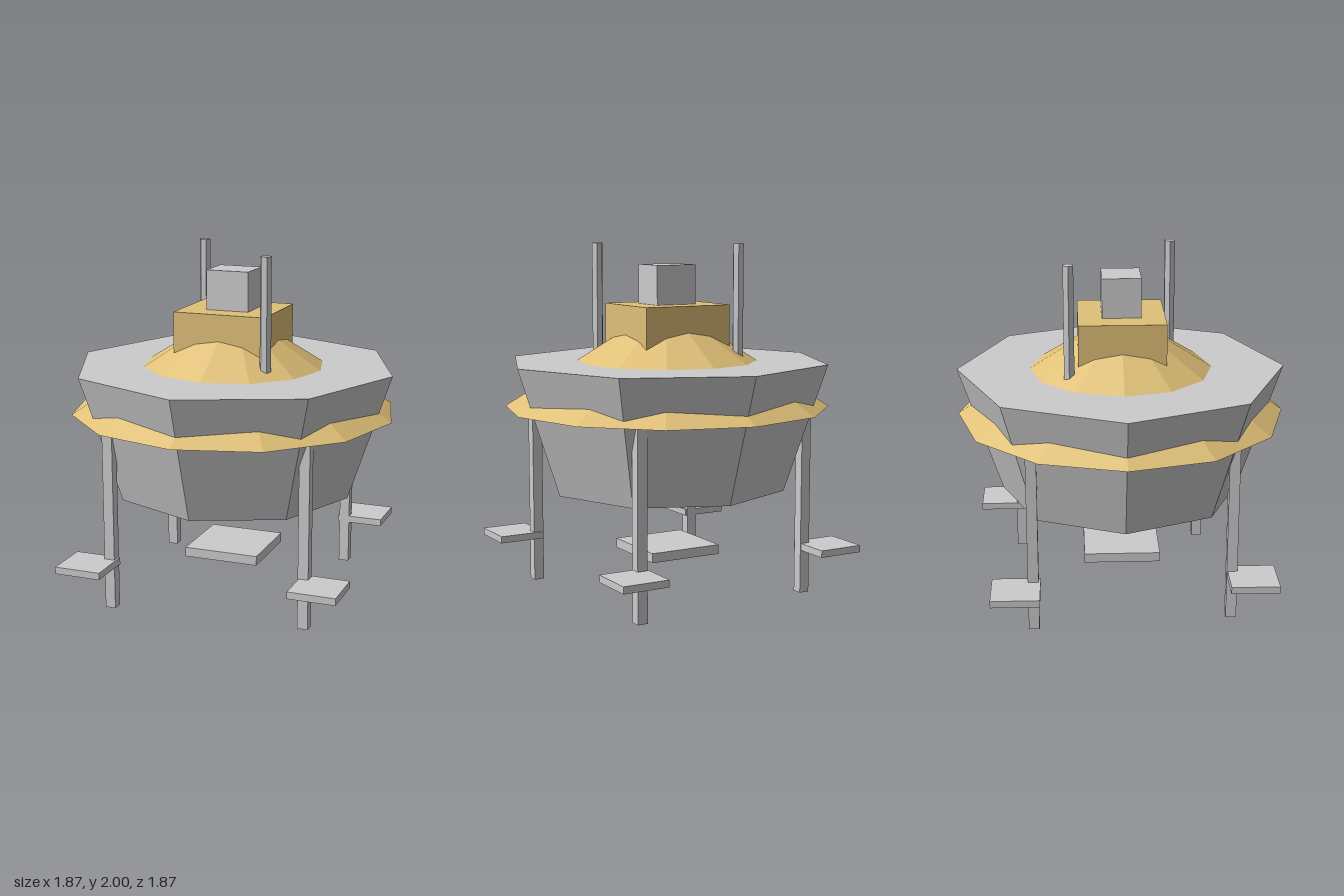
import * as THREE from 'three';

const grey = new THREE.MeshStandardMaterial({ color: 0xcccccc, flatShading: true });
const gold = new THREE.MeshStandardMaterial({ color: 0xe0c078, flatShading: true });

export function createModel() {
  const model = new THREE.Group();

  const add = (name, geometry, material, x, y, z, parent = model) => {
    const mesh = new THREE.Mesh(geometry, material);
    mesh.name = name;
    mesh.position.set(x, y, z);
    parent.add(mesh);
    return mesh;
  };
  // Box and prism placed by their lower and upper heights
  const box = (name, w, d, y0, y1, material, x = 0, z = 0, parent = model) =>
    add(name, new THREE.BoxGeometry(w, y1 - y0, d), material, x, (y0 + y1) / 2, z, parent);
  const prism = (name, rTop, rBottom, sides, y0, y1, material, x = 0, z = 0) =>
    add(name, new THREE.CylinderGeometry(rTop, rBottom, y1 - y0, sides), material, x, (y0 + y1) / 2, z);

  // Eight-sided hull, pierced by a twelve-sided cone that shows as skirt and roof
  prism('hull', 0.935, 0.69, 8, 0.6, 1.33, grey);
  add('skirtCone', new THREE.ConeGeometry(0.935, 0.595, 12), gold, 0, 1.065 + 0.595 / 2, 0);

  // Cabin blocks on top
  box('cabin', 0.54, 0.49, 1.36, 1.655, gold);
  box('hatch', 0.25, 0.22, 1.655, 1.88, grey);

  // Two hexagonal masts on opposite corners
  for (const s of [-1, 1]) {
    prism('mast', 0.033, 0.033, 6, 1.33, 2, grey, s * 0.295, s * 0.295).rotation.y = Math.PI / 6;
  }

  // Four legs with offset foot pads, each a quarter turn from the last
  for (let i = 0; i < 4; i++) {
    const leg = new THREE.Group();
    leg.name = 'leg' + (i + 1);
    box('strut', 0.06, 0.06, 0, 1.15, grey, 0.605, 0.51, leg);
    box('footPad', 0.27, 0.27, 0.25, 0.29, grey, 0.715, 0.605, leg);
    leg.rotation.y = (i * Math.PI) / 2;
    model.add(leg);
  }

  // Plate hanging free under the hull
  box('bellyPlate', 0.44, 0.44, 0.205, 0.26, grey);

  return model;
}
